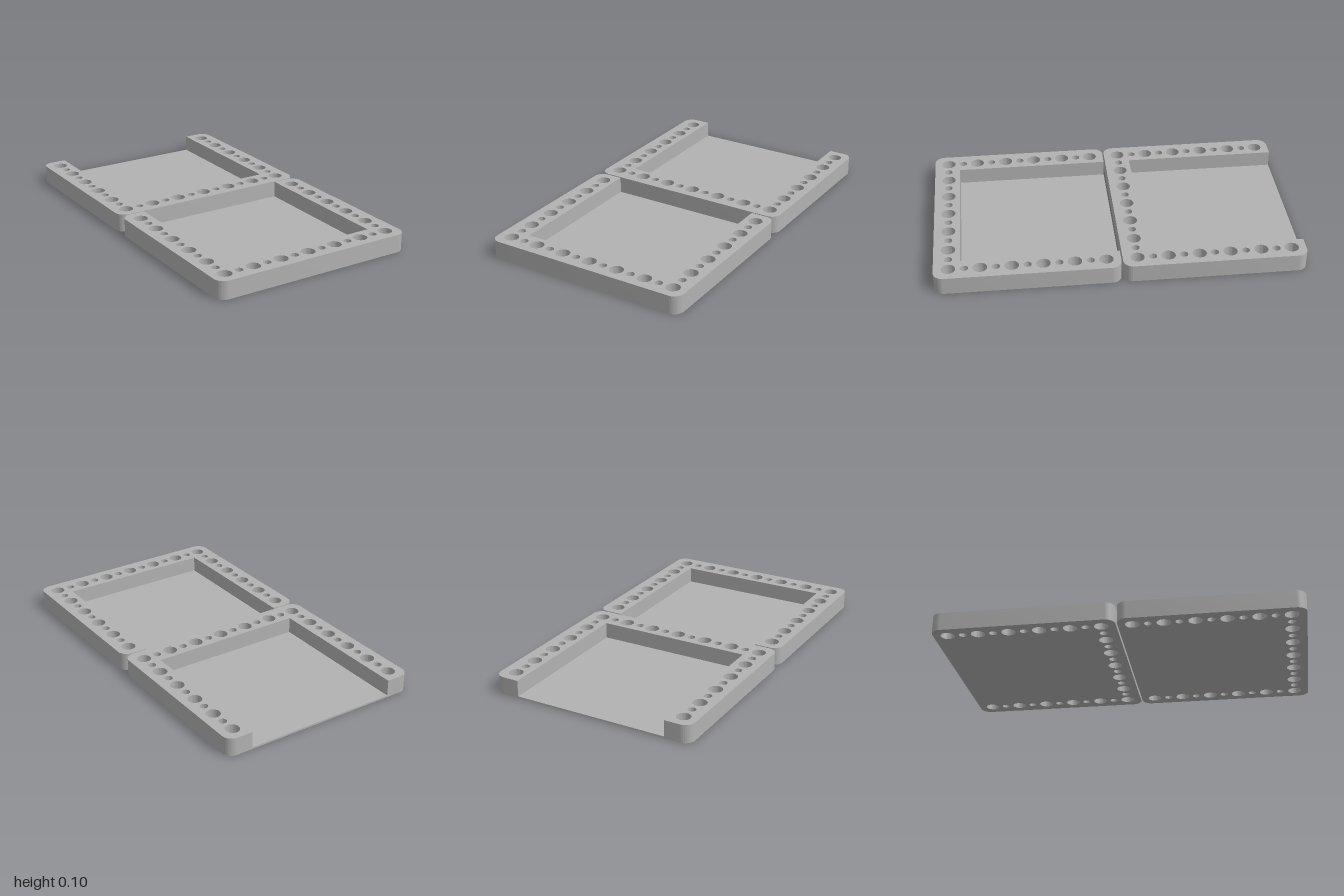
import * as THREE from 'three';
import { toCreasedNormals } from 'three/addons/utils/BufferGeometryUtils.js';

const HALF_W = 0.581;   // half width of a tray
const LENGTH = 0.996;   // depth of a tray
const HEIGHT = 0.1;
const WALL = 0.144;     // width of the perforated rim
const FLOOR = 0.01;
const CORNER = 0.055;
const PITCH = 0.1675;   // spacing of the large holes
const MARGIN = 0.079;   // edge to hole centre

// U-shaped rim outline, open at the back (low y), with rounded outer corners
function rimShape() {
  const w = HALF_W, l = LENGTH, r = CORNER, i = HALF_W - WALL;
  const s = new THREE.Shape();
  s.moveTo(i, 0);
  s.lineTo(w - r, 0);
  s.absarc(w - r, r, r, -Math.PI / 2, 0, false);
  s.lineTo(w, l - r);
  s.absarc(w - r, l - r, r, 0, Math.PI / 2, false);
  s.lineTo(-w + r, l);
  s.absarc(-w + r, l - r, r, Math.PI / 2, Math.PI, false);
  s.lineTo(-w, r);
  s.absarc(-w + r, r, r, Math.PI, Math.PI * 1.5, false);
  s.lineTo(-i, 0);
  s.lineTo(-i, l - WALL);
  s.lineTo(i, l - WALL);
  s.closePath();

  const hole = (x, y, radius) => {
    const p = new THREE.Path();
    p.absarc(x, y, radius, 0, Math.PI * 2, true);
    s.holes.push(p);
  };
  // large and small holes alternate every half pitch
  const radiusAt = k => (k % 2 === 0 ? 0.0385 : 0.022);
  const front = MARGIN + 5 * PITCH;
  for (let k = 0; k <= 12; k++) hole((k / 2 - 3) * PITCH, front, radiusAt(k));
  for (const side of [-1, 1]) {
    for (let k = 0; k < 10; k++) hole(side * 3 * PITCH, MARGIN + (k / 2) * PITCH, radiusAt(k));
  }
  return s;
}

export function createModel() {
  const model = new THREE.Group();
  model.name = 'trayPair';
  const grey = new THREE.MeshStandardMaterial({ color: 0xb2b2b2 });
  grey.name = 'grey';

  // perforated rim
  let rimGeo = new THREE.ExtrudeGeometry(rimShape(), { depth: HEIGHT, bevelEnabled: false, curveSegments: 16 });
  rimGeo.rotateX(Math.PI / 2);
  rimGeo.translate(0, HEIGHT, 0);
  rimGeo = toCreasedNormals(rimGeo, 0.6);

  // thin floor between the rim arms
  const floorGeo = new THREE.BoxGeometry(2 * (HALF_W - WALL), FLOOR, LENGTH - WALL);
  floorGeo.translate(0, FLOOR / 2, (LENGTH - WALL) / 2);

  for (const [name, z] of [['frontTray', 1 - LENGTH], ['backTray', -1]]) {
    const tray = new THREE.Group();
    tray.name = name;
    const rim = new THREE.Mesh(rimGeo, grey);
    rim.name = 'perforatedRim';
    const floor = new THREE.Mesh(floorGeo, grey);
    floor.name = 'floorPanel';
    tray.add(rim, floor);
    tray.position.z = z;
    model.add(tray);
  }
  return model;
}
